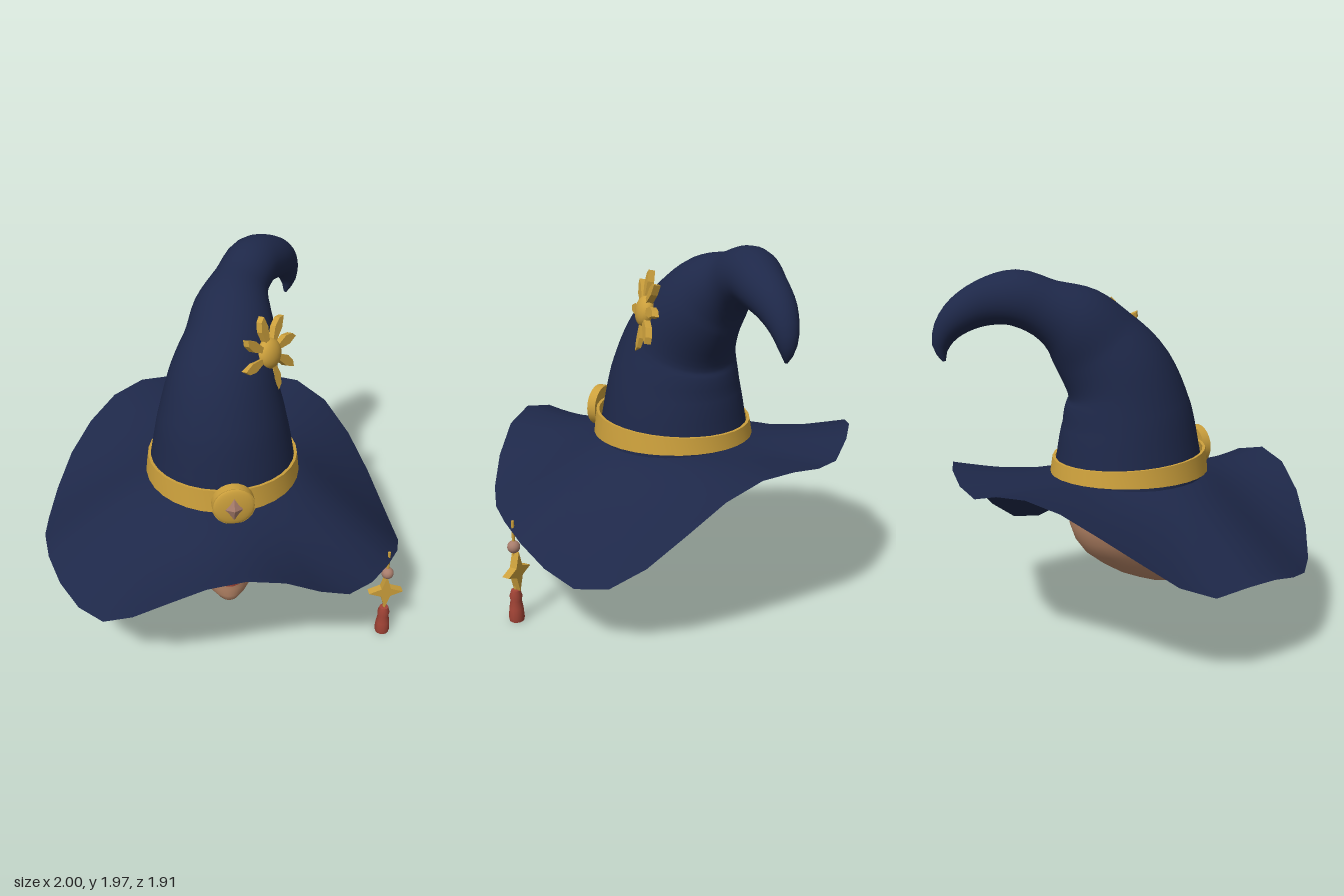
import * as THREE from 'three';
import { toCreasedNormals } from 'three/addons/utils/BufferGeometryUtils.js';

const V = (x, y, z) => new THREE.Vector3(x, y, z);
const mat = (name, color, side = THREE.FrontSide) => {
  const m = new THREE.MeshStandardMaterial({ color, side });
  m.name = name;
  return m;
};

// Surface through closed rings of points, shared vertices for smooth shading
function loft(rings, capStart = false, capEnd = false) {
  const n = rings[0].length, pos = [], index = [];
  rings.forEach(r => r.forEach(p => pos.push(p.x, p.y, p.z)));
  for (let i = 0; i < rings.length - 1; i++) {
    for (let j = 0; j < n; j++) {
      const a = i * n + j, b = i * n + (j + 1) % n;
      index.push(a, b, a + n, b, b + n, a + n);
    }
  }
  const cap = (ring, start, flip) => {
    const c = ring.reduce((s, p) => s.add(p), V(0, 0, 0)).divideScalar(n);
    const ci = pos.length / 3;
    pos.push(c.x, c.y, c.z);
    for (let j = 0; j < n; j++) {
      const a = start + j, b = start + (j + 1) % n;
      flip ? index.push(ci, b, a) : index.push(ci, a, b);
    }
  };
  if (capStart) cap(rings[0], 0, true);
  if (capEnd) cap(rings[rings.length - 1], (rings.length - 1) * n, false);
  const g = new THREE.BufferGeometry();
  g.setAttribute('position', new THREE.Float32BufferAttribute(pos, 3));
  g.setIndex(index);
  g.computeVertexNormals();
  return g;
}

const around = (n, f) => Array.from({ length: n }, (_, j) => f(j / n * Math.PI * 2, j / n));

// Head sections: y, half width, back z, front z
const HEAD = [
  [0.198, 0.03, 0.2, 0.32], [0.21, 0.068, 0.14, 0.345], [0.25, 0.115, 0.04, 0.36], [0.3, 0.16, -0.07, 0.362],
  [0.37, 0.203, -0.18, 0.367], [0.44, 0.233, -0.27, 0.378], [0.52, 0.254, -0.33, 0.383], [0.6, 0.264, -0.36, 0.38],
  [0.7, 0.27, -0.38, 0.375], [0.84, 0.268, -0.37, 0.36]];

function faceZ(x, y) {
  const i = Math.max(1, HEAD.findIndex(r => r[0] > y));
  const a = HEAD[i - 1], b = HEAD[i], k = (y - a[0]) / (b[0] - a[0]);
  const [, w, back, front] = a.map((v, c) => v + (b[c] - v) * k);
  return (front + back) / 2 + (front - back) / 2 * Math.sqrt(Math.max(0, 1 - (x / w) ** 2));
}

// Painted stroke lying on the face; points are x, y, half thickness
function stroke(points, side) {
  const pts = new THREE.CatmullRomCurve3(points.map(p => V(...p))).getPoints(16);
  const pos = [], index = [];
  pts.forEach((p, i) => {
    for (const s of [-1, 1]) {
      const y = p.y + s * p.z;
      pos.push(side * p.x, y, faceZ(p.x, y) + 0.005);
    }
    if (i) index.push(2 * i - 2, 2 * i, 2 * i - 1, 2 * i, 2 * i + 1, 2 * i - 1);
  });
  const g = new THREE.BufferGeometry();
  g.setAttribute('position', new THREE.Float32BufferAttribute(pos, 3));
  g.setIndex(index);
  g.computeVertexNormals();
  return g;
}

function plate(points, depth) {
  const shape = new THREE.Shape(points.map(p => new THREE.Vector2(...p)));
  return new THREE.ExtrudeGeometry(shape, { depth, bevelEnabled: false }).translate(0, 0, -depth / 2);
}

export function createModel() {
  const model = new THREE.Group();
  const cloth = mat('navy cloth', 0x1e2849, THREE.DoubleSide);
  const gold = mat('gold', 0xcca03c);
  const skin = mat('skin', 0xb98768);
  const stone = mat('rose stone', 0xa87d6c);
  const red = mat('red', 0xa24436, THREE.DoubleSide);
  const dark = mat('dark lashes', 0x1f2416, THREE.DoubleSide);
  const add = (name, geo, m, x = 0, y = 0, z = 0, parent = model) => {
    const mesh = new THREE.Mesh(geo, m);
    mesh.name = name;
    mesh.position.set(x, y, z);
    parent.add(mesh);
    return mesh;
  };

  // Wavy brim: rim heights every 15 degrees from the front towards +x
  const rim = [0.867, 0.79, 0.61, 0.55, 0.53, 0.44, 0.357, 0.42, 0.63, 0.84, 0.93, 0.895,
    0.866, 0.935, 0.92, 0.8, 0.64, 0.485, 0.5, 0.485, 0.42, 0.43, 0.6, 0.79];
  const rimCurve = new THREE.CatmullRomCurve3(rim.map(h => V(0, h, 0)), true, 'catmullrom');
  const brimRings = [];
  for (let i = 0; i <= 12; i++) {
    const s = 1 - i / 12;
    brimRings.push(around(32, (a, u) => {
      const h = rimCurve.getPoint(u).y;
      const dip = 0.035 * Math.sin(Math.PI * s) * (0.5 + 0.5 * Math.cos(a));
      return V(Math.sin(a) * (0.38 + 0.62 * s), 0.87 + (h - 0.87) * s ** 1.4 - dip,
        Math.cos(a) * (0.38 + 0.575 * s));
    }));
  }
  add('brim', loft(brimRings), cloth);

  // Lining that closes the hat around the head
  add('lining', new THREE.CylinderGeometry(0.4, 0.405, 0.06, 32), cloth, 0, 0.85, -0.01);

  // Bent crown: x, y, z, radius
  const crown = [[0, 0.86, -0.015, 0.405], [0, 1, -0.015, 0.385], [0, 1.2, -0.025, 0.348], [0.012, 1.39, -0.068, 0.3],
    [0.06, 1.56, -0.175, 0.252], [0.09, 1.685, -0.29, 0.212], [0.15, 1.77, -0.43, 0.155], [0.235, 1.825, -0.56, 0.146],
    [0.355, 1.795, -0.685, 0.12], [0.43, 1.725, -0.79, 0.095], [0.475, 1.64, -0.85, 0.068], [0.49, 1.56, -0.87, 0.042],
    [0.475, 1.49, -0.86, 0.008]];
  const spine = new THREE.CatmullRomCurve3(crown.map(c => V(c[0], c[1], c[2])));
  const girth = new THREE.CatmullRomCurve3(crown.map(c => V(c[3], 0, 0)), false, 'catmullrom');
  const steps = 44, frames = spine.computeFrenetFrames(steps);
  const crownRings = [];
  for (let i = 0; i <= steps; i++) {
    const p = spine.getPointAt(i / steps), r = girth.getPoint(spine.getUtoTmapping(i / steps)).x;
    crownRings.push(around(32, a => p.clone()
      .addScaledVector(frames.normals[i], r * Math.cos(a))
      .addScaledVector(frames.binormals[i], r * Math.sin(a))));
  }
  add('crown', loft(crownRings, false, true), cloth);

  // Hat band, taller at the front than at the back
  const bandProfile = [[0.4, 0], [0.418, 0], [0.405, 1], [0.39, 1], [0.4, 0]].map(p => new THREE.Vector2(...p));
  const band = new THREE.LatheGeometry(bandProfile, 32);
  const bp = band.attributes.position;
  for (let i = 0; i < bp.count; i++) {
    const z = bp.getZ(i);
    bp.setXYZ(i, bp.getX(i), 0.882 + bp.getY(i) * (0.103 + 0.06 * z), z * 1.035 - 0.01);
  }
  add('hatBand', toCreasedNormals(band, 0.6), gold);

  // Round domed buckle with a faceted stone
  add('buckle', new THREE.CylinderGeometry(0.112, 0.112, 0.05, 24).rotateX(Math.PI / 2), gold, 0, 0.955, 0.445);
  add('buckleDome', new THREE.SphereGeometry(0.11, 24, 12).scale(1, 1, 0.2), gold, 0, 0.955, 0.468);
  add('buckleStone', new THREE.OctahedronGeometry(1).scale(0.052, 0.07, 0.026), stone, 0, 0.95, 0.485);

  // Sun ornament with eight leaf-shaped rays
  const sun = new THREE.Group();
  sun.name = 'sunOrnament';
  sun.position.set(0.238, 1.588, 0.024);
  sun.lookAt(0.238 + 0.67, 1.588 + 0.2, 0.024 + 0.72);
  sun.rotateZ(0.17);
  add('sunCentre', new THREE.SphereGeometry(0.082, 20, 14).scale(1, 1, 0.6), gold, 0, 0, 0, sun);
  const leaf = plate([[-0.012, 0.06], [0.012, 0.06], [0.03, 0.15], [0.018, 0.21], [-0.01, 0.19], [-0.026, 0.14]], 0.035);
  for (let i = 0; i < 8; i++) add('sunRay', leaf, gold, 0, 0, 0, sun).rotation.z = i * Math.PI / 4;
  model.add(sun);

  // Hanging charm on the brim
  const charm = new THREE.Group();
  charm.name = 'charm';
  charm.position.set(0.85, 0, 0.465);
  add('charmRod', new THREE.CylinderGeometry(0.008, 0.008, 0.41, 8), gold, 0, 0.36, 0, charm);
  add('charmBead', new THREE.SphereGeometry(0.034, 16, 12), stone, 0, 0.42, 0, charm);
  const star = [];
  for (let i = 0; i < 8; i++) {
    const a = i * Math.PI / 4, r = i % 2 ? 0.037 : (i % 4 ? 0.112 : 0.095);
    star.push([r * Math.cos(a), r * Math.sin(a)]);
  }
  add('charmStar', plate(star, 0.042), gold, 0, 0.285, -0.01, charm);
  const tassel = [[0, 0], [0.038, 0], [0.042, 0.02], [0.038, 0.07], [0.03, 0.115], [0.034, 0.14], [0.024, 0.175], [0, 0.18]];
  add('tassel', toCreasedNormals(new THREE.LatheGeometry(tassel.map(p => new THREE.Vector2(...p)), 14), 0.8),
    red, 0, 0, 0, charm);
  model.add(charm);

  // Head
  add('head', loft(HEAD.map(([y, w, back, front]) => around(48, a =>
    V(w * Math.sin(a), y, (front + back) / 2 + (front - back) / 2 * Math.cos(a)))), true, true), skin);
  add('nose', new THREE.SphereGeometry(1, 14, 10).scale(0.02, 0.036, 0.025), skin, 0, 0.445, 0.371);
  add('mouth', stroke([[-0.042, 0.338, 0.002], [-0.015, 0.337, 0.008], [0.015, 0.337, 0.008], [0.042, 0.338, 0.002]], 1), red);

  // Mirrored ears, brows and closed eyes
  for (const s of [-1, 1]) {
    const ear = add('ear', new THREE.SphereGeometry(1, 14, 12).scale(0.03, 0.09, 0.038), skin, s * 0.268, 0.525, 0);
    ear.rotation.z = -s * 0.1;
    add('brow', stroke([[0.2, 0.647, 0.003], [0.14, 0.664, 0.007], [0.09, 0.658, 0.007], [0.05, 0.647, 0.004]], s), dark);
    add('upperLash', stroke([[0.215, 0.545, 0.01], [0.19, 0.575, 0.019], [0.125, 0.597, 0.014],
      [0.065, 0.577, 0.014], [0.03, 0.535, 0.005]], s), dark);
    add('lowerLash', stroke([[0.175, 0.493, 0.002], [0.15, 0.479, 0.003], [0.12, 0.475, 0.003],
      [0.09, 0.479, 0.003], [0.065, 0.491, 0.002]], s), dark);
  }
  return model;
}
